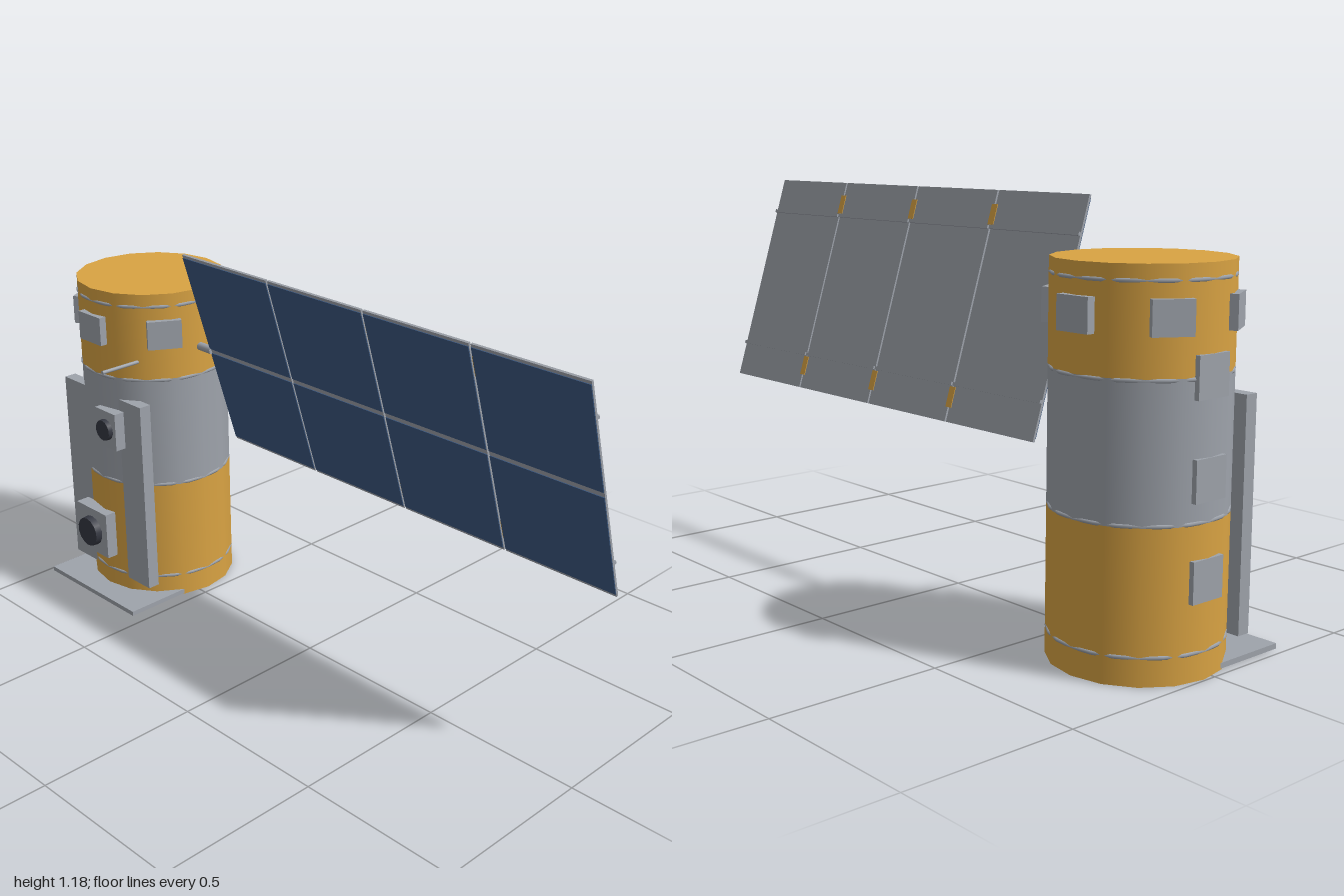
import * as THREE from 'three';

const material = (name, color) => {
  const m = new THREE.MeshStandardMaterial({ color });
  m.name = name;
  return m;
};

export function createModel() {
  const gold = material('gold foil', 0xd9a343);
  const grey = material('grey metal', 0x9ea3ab);
  const blue = material('solar blue', 0x3b577f);
  const dark = material('dark lens', 0x353842);

  const model = new THREE.Group();
  model.name = 'satellite';
  const R = 0.236;

  const add = (parent, name, geometry, mat, x = 0, y = 0, z = 0) => {
    const mesh = new THREE.Mesh(geometry, mat);
    mesh.name = name;
    mesh.position.set(x, y, z);
    parent.add(mesh);
    return mesh;
  };
  const box = (parent, name, mat, w, h, d, x, y, z) =>
    add(parent, name, new THREE.BoxGeometry(w, h, d), mat, x, y, z);

  // Body group: its axis is the local origin
  const body = new THREE.Group();
  body.name = 'body';
  body.position.set(-0.759, 0, -0.035);
  model.add(body);

  // Three stacked drum sections
  const sections = [[0, 0.405, gold], [0.405, 0.77, grey], [0.77, 1.045, gold]];
  for (const [y0, y1, mat] of sections) {
    add(body, 'bodySection', new THREE.CylinderGeometry(R, R, y1 - y0, 16), mat, 0, (y0 + y1) / 2, 0);
  }

  // Thin hoops around the drum
  for (const y of [0.075, 0.408, 0.766, 1.005]) {
    add(body, 'hoop', new THREE.TorusGeometry(0.2312, 0.0058, 6, 24), grey, 0, y, 0).rotation.x = Math.PI / 2;
  }

  // Six sensor boxes around the top
  for (let i = 0; i < 6; i++) {
    const a = (i * Math.PI) / 3;
    const r = 0.235;
    box(body, 'sensorBox', grey, 0.107, 0.09, 0.028, r * Math.sin(a), 0.918, r * Math.cos(a)).rotation.y = a;
  }

  // Three boxes down the right side
  for (const y of [0.26, 0.515, 0.77]) {
    box(body, 'sideBox', grey, 0.026, 0.11, 0.11, -0.226, y, 0);
  }

  // Front mounting plate and base plate
  box(model, 'mountingPlate', grey, 0.39, 0.637, 0.04, -0.76, 0.379, 0.164);
  box(model, 'basePlate', grey, 0.437, 0.015, 0.385, -0.76, 0.0105, 0.0815);

  // Instruments: a housing with a round lens
  const instrument = (x, y, w, h, z0, z1, lensX, lensY, lensR, lensZ) => {
    const g = new THREE.Group();
    g.name = 'instrument';
    model.add(g);
    box(g, 'housing', grey, w, h, z1 - z0, x, y, (z0 + z1) / 2);
    const depth = lensZ - z1;
    add(g, 'lens', new THREE.CylinderGeometry(lensR * 0.96, lensR, depth, 14), dark,
      lensX, lensY, z1 + depth / 2).rotation.x = Math.PI / 2;
  };
  instrument(-0.794, 0.211, 0.156, 0.157, 0.16, 0.231, -0.793, 0.211, 0.051, 0.253);
  instrument(-0.7, 0.598, 0.1, 0.124, 0.16, 0.22, -0.698, 0.598, 0.035, 0.235);

  // Antenna rod
  add(model, 'antenna', new THREE.CylinderGeometry(0.006, 0.006, 0.15, 8), grey,
    -0.615, 0.827, 0.206).rotation.x = Math.PI / 2;

  // Solar array, tilted with its top edge forward
  const array = new THREE.Group();
  array.name = 'solarArray';
  array.position.set(0, 0.858, -0.034);
  array.rotation.x = Math.atan2(0.2, 0.65);
  model.add(array);

  add(array, 'arm', new THREE.CylinderGeometry(0.013, 0.013, 0.11, 10), grey, -0.522, 0, 0)
    .rotation.z = Math.PI / 2;

  const left = -0.475, pitch = 1.475 / 4, gap = 0.007, width = pitch - gap;
  for (let i = 0; i < 4; i++) {
    const x = left + pitch * (i + 0.5);
    box(array, 'panelFrame', grey, width, 0.68, 0.007, x, 0, -0.001);
    for (const s of [-1, 1]) {
      box(array, 'solarCells', blue, width - 0.002, 0.323, 0.003, x, s * 0.1695, 0.0035);
      // Stiffening rail on the back
      box(array, 'rail', grey, width, 0.01, 0.008, x, s * 0.23, -0.008);
      // Hinge across the gap to the next panel
      if (i < 3) {
        box(array, 'hinge', gold, 0.024, 0.06, 0.005, x + pitch / 2, s * 0.268, -0.004);
      }
    }
  }

  return model;
}
